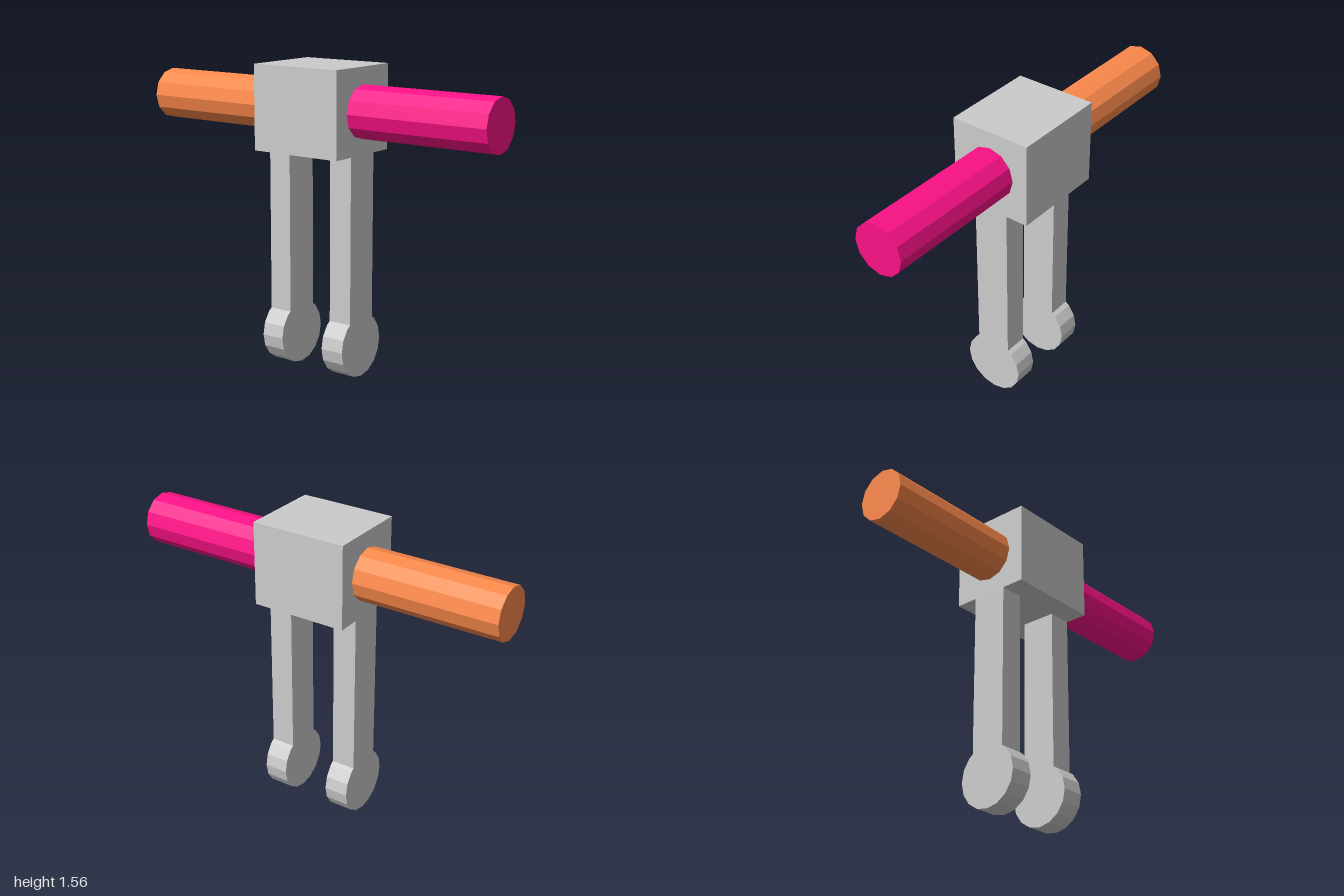
import * as THREE from 'three';

const material = (color) => new THREE.MeshStandardMaterial({ color, flatShading: true });

function addMesh(group, name, geometry, mat, x = 0, y = 0, z = 0) {
  const mesh = new THREE.Mesh(geometry, mat);
  mesh.name = name;
  mesh.position.set(x, y, z);
  group.add(mesh);
  return mesh;
}

// Side outline of a leg: a straight bar ending in a 16-sided round foot
function legGeometry(top, halfDepth, radius, thickness) {
  const half = Math.PI / 8;
  const outline = [[halfDepth, top], [-halfDepth, top]];
  // the bar meets the foot on the facet just above each 45 degree corner
  const a = radius * Math.SQRT1_2;
  const b = radius * Math.sin(half), c = radius * Math.cos(half);
  const joinY = radius + a + ((a - halfDepth) / (a - b)) * (c - a);
  outline.push([-halfDepth, joinY]);
  for (let i = 6; i <= 18; i++) {
    outline.push([radius * Math.cos(i * half), radius + radius * Math.sin(i * half)]);
  }
  outline.push([halfDepth, joinY]);
  const shape = new THREE.Shape(outline.map(([u, v]) => new THREE.Vector2(u, v)));
  return new THREE.ExtrudeGeometry(shape, { depth: thickness, bevelEnabled: false })
    .translate(0, 0, -thickness / 2)
    .rotateY(Math.PI / 2);
}

export function createModel() {
  const model = new THREE.Group();
  model.name = 'figure';
  const grey = material(0xcccccc);

  // Block body
  addMesh(model, 'body', new THREE.BoxGeometry(0.5, 0.427, 0.424), grey, 0, 1.3435, 0);

  // Arms and legs on both sides
  const armGeometry = new THREE.CylinderGeometry(0.132, 0.132, 0.75, 12).rotateZ(Math.PI / 2);
  const leg = legGeometry(1.13, 0.094, 0.162, 0.125);
  for (const [side, sign, color] of [['left', 1, 0xfc1187], ['right', -1, 0xfc894b]]) {
    addMesh(model, side + 'Arm', armGeometry, material(color), sign * 0.625, 1.341, 0);
    addMesh(model, side + 'Leg', leg, grey, sign * 0.1875, 0, 0);
  }
  return model;
}
